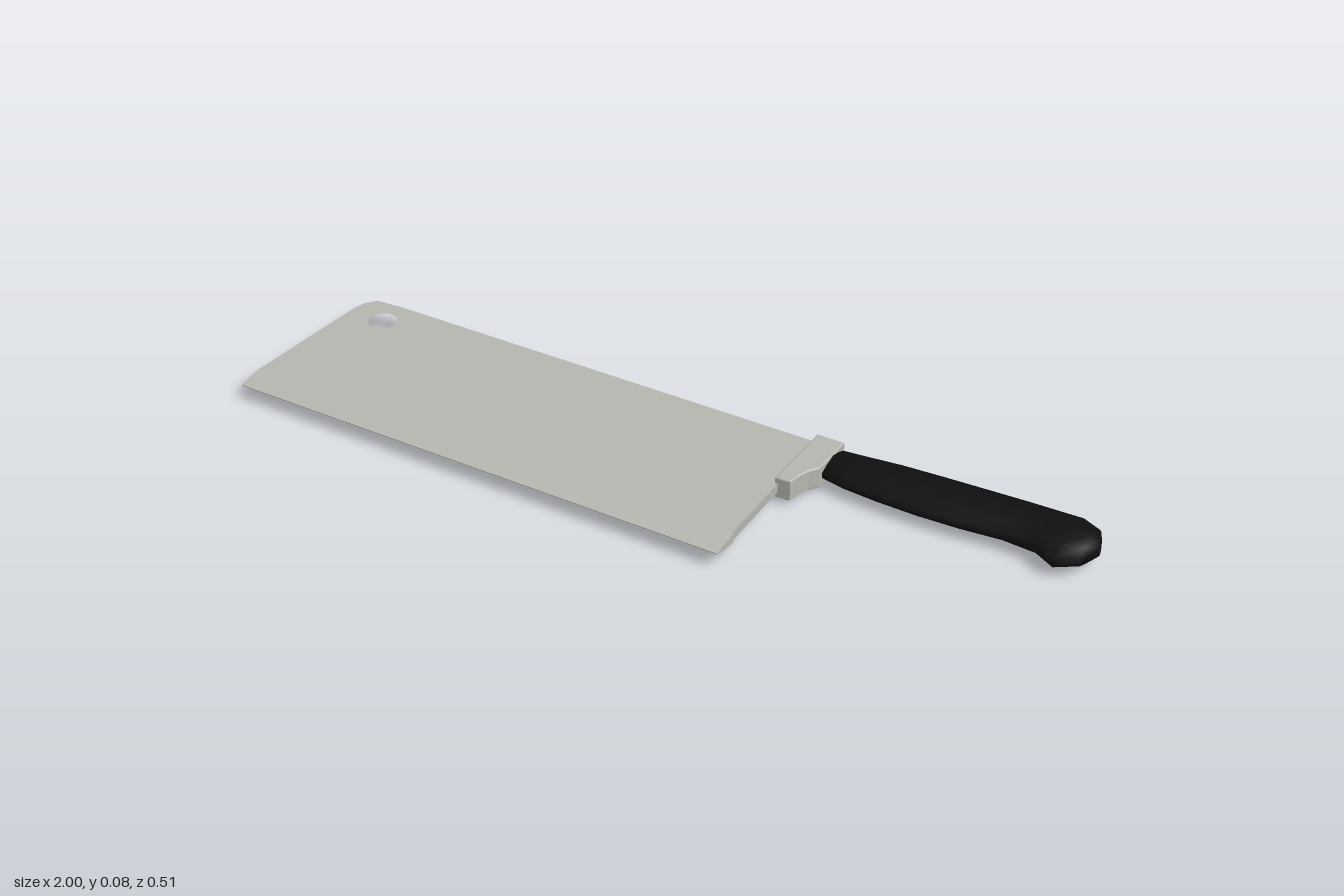
import * as THREE from 'three';

const MID = 0.0425; // height of the knife's middle plane

// Extrudes an outline of [x, z] points upward, centred on the middle plane
function slab(points, height, hole, bevel = 0) {
  const shape = new THREE.Shape(points.map(([x, z]) => new THREE.Vector2(x, -z)));
  if (hole) shape.holes.push(hole);
  const geo = new THREE.ExtrudeGeometry(shape, {
    depth: height - 2 * bevel, curveSegments: 10, bevelEnabled: bevel > 0,
    bevelThickness: bevel, bevelSize: bevel, bevelOffset: -bevel, bevelSegments: 1,
  });
  geo.rotateX(-Math.PI / 2);
  geo.translate(0, MID - height / 2 + bevel, 0);
  return geo;
}

// Lofts closed rings along x: [x, back z, front z, half height]
function handleGeometry(sections) {
  const half = [[0, 0.3], [0.2, 0.68], [0.5, 1], [0.8, 0.68], [1, 0.3]];
  const ring = [...half, ...half.slice().reverse().map(([u, v]) => [u, -v])];
  const n = ring.length, pos = [], idx = [];
  for (const [x, z0, z1, h] of sections)
    for (const [u, v] of ring) pos.push(x, MID + v * h, z0 + (z1 - z0) * u);
  for (let s = 0; s < sections.length - 1; s++)
    for (let i = 0; i < n; i++) {
      const a = s * n + i, b = s * n + (i + 1) % n;
      idx.push(a, b, a + n, b, b + n, a + n);
    }
  // End caps
  const last = (sections.length - 1) * n;
  for (let i = 1; i < n - 1; i++) {
    idx.push(0, i + 1, i);
    idx.push(last, last + i, last + i + 1);
  }
  const geo = new THREE.BufferGeometry();
  geo.setAttribute('position', new THREE.Float32BufferAttribute(pos, 3));
  geo.setIndex(idx);
  geo.computeVertexNormals();
  return geo;
}

export function createModel() {
  const group = new THREE.Group();
  const steel = new THREE.MeshStandardMaterial({ name: 'steel', color: 0xb8b8b2 });
  const black = new THREE.MeshStandardMaterial({ name: 'blackGrip', color: 0x101010 });
  const add = (name, geo, mat) => {
    const mesh = new THREE.Mesh(geo, mat);
    mesh.name = name;
    group.add(mesh);
  };

  // Flat blade with a hanging hole near the far corner
  const hole = new THREE.Path().absarc(-0.877, 0.142, 0.036, 0, Math.PI * 2, true);
  add('blade', slab([
    [-0.997, 0.185], [-0.988, 0.04], [-0.975, -0.16], [-0.968, -0.187], [-0.948, -0.214],
    [-0.88, -0.22], [0.291, -0.22], [0.299, 0.185],
  ], 0.023, hole), steel);

  // Ground cutting edge, a tapering profile run along x
  const profile = new THREE.Shape([
    [0.185, -0.0115], [0.225, -0.0075], [0.254, -0.001],
    [0.254, 0.001], [0.225, 0.0075], [0.185, 0.0115],
  ].map(([z, y]) => new THREE.Vector2(z, y)));
  const edge = new THREE.ExtrudeGeometry(profile, { depth: 1.302, bevelEnabled: false });
  edge.rotateY(-Math.PI / 2);
  edge.translate(0.303, MID, 0);
  add('cuttingEdge', edge, steel);

  // Bolster between blade and handle
  add('bolster', slab([
    [0.288, -0.231], [0.357, -0.231], [0.357, -0.112], [0.341, -0.09],
    [0.333, -0.068], [0.325, -0.031], [0.288, -0.029],
  ], 0.055, null, 0.003), steel);

  // Contoured grip with a hooked butt
  add('handle', handleGeometry([
    [0.35, -0.226, -0.125, 0.023],
    [0.42, -0.232, -0.112, 0.027],
    [0.5, -0.24, -0.107, 0.031],
    [0.6, -0.246, -0.105, 0.032],
    [0.7, -0.251, -0.109, 0.032],
    [0.8, -0.255, -0.12, 0.034],
    [0.88, -0.256, -0.115, 0.037],
    [0.93, -0.256, -0.088, 0.041],
    [0.978, -0.236, -0.117, 0.033],
    [0.992, -0.208, -0.15, 0.023],
    [1.0, -0.185, -0.172, 0.013],
  ]), black);

  return group;
}
